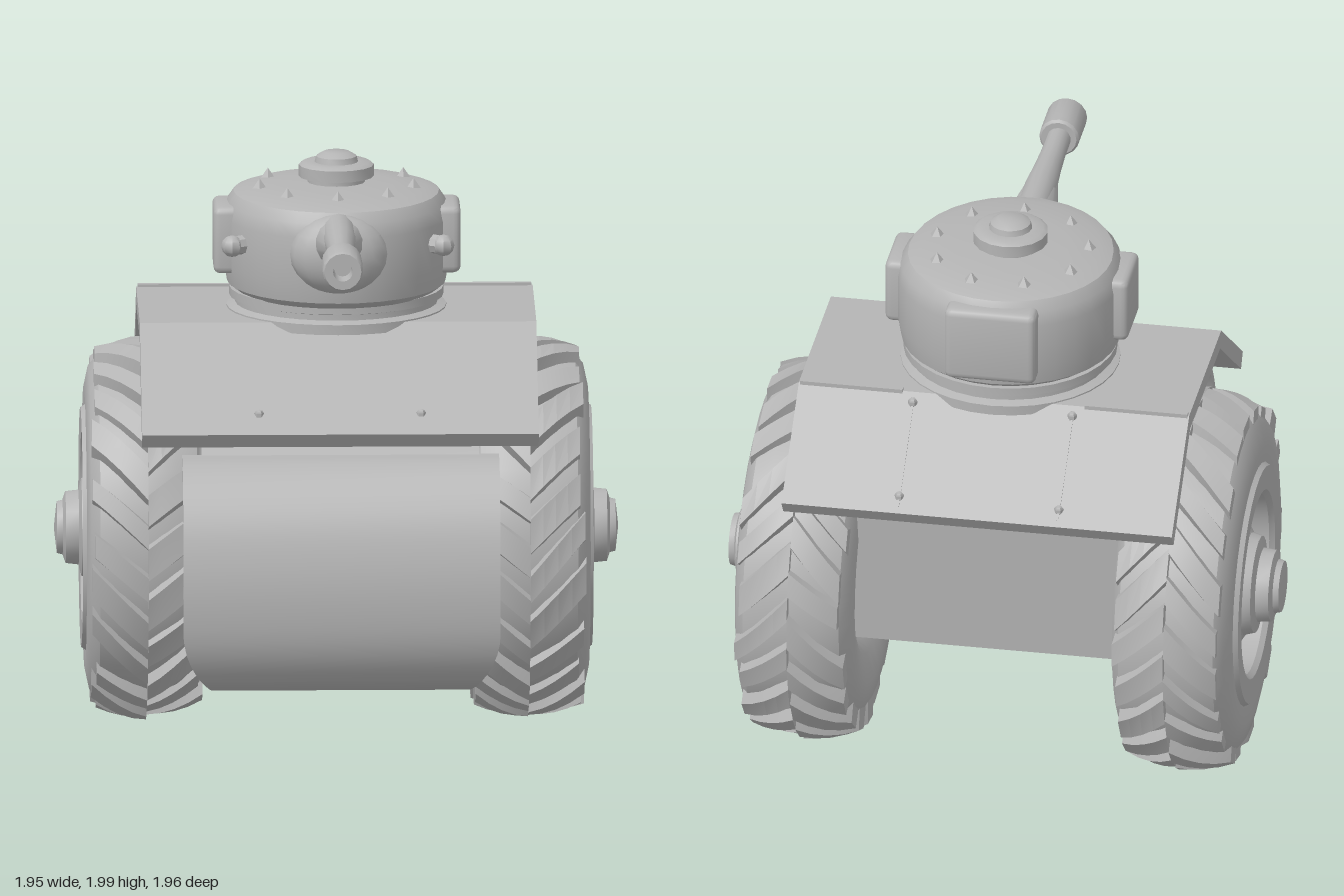
import * as THREE from 'three';
import { toCreasedNormals } from 'three/addons/utils/BufferGeometryUtils.js';
import { RoundedBoxGeometry } from 'three/addons/geometries/RoundedBoxGeometry.js';

const grey = new THREE.MeshStandardMaterial({ color: 0xb4b4b4 });
grey.name = 'plain grey';

let seed = 7;
const rand = () => (seed = (seed * 16807) % 2147483647) / 2147483647;

function add(parent, name, geometry, x = 0, y = 0, z = 0, crease = 0.6) {
  const mesh = new THREE.Mesh(toCreasedNormals(geometry, crease), grey);
  mesh.name = name;
  mesh.position.set(x, y, z);
  parent.add(mesh);
  return mesh;
}

// Side profile of [z, y] points, extruded across x
function sideExtrude(points, width) {
  const shape = new THREE.Shape(points.map(([z, y]) => new THREE.Vector2(z, y)));
  const g = new THREE.ExtrudeGeometry(shape, { depth: width, bevelEnabled: false });
  g.translate(0, 0, -width / 2);
  return g.rotateY(-Math.PI / 2);
}

// Profile of [radius, height] points, turned about y
const lathe = (points, sides = 32) =>
  new THREE.LatheGeometry(points.map(([r, y]) => new THREE.Vector2(r, y)), sides);

// One slanted tread bar that wraps over the tyre shoulder; axis of the wheel is x
function treadBar(angle, side, lean) {
  const g = new THREE.BoxGeometry(1, 1, 1, 4, 1, 1);
  const p = g.attributes.position;
  const slant = lean * (1.1 + rand() * 0.7);
  const wide = 0.15 + rand() * 0.08;
  const high = 0.03 + rand() * 0.022;
  const reach = 0.17 + rand() * 0.025;
  for (let i = 0; i < p.count; i++) {
    const w = (p.getX(i) + side * 0.5) * reach;
    const top = p.getY(i) > 0;
    const a = angle + slant * Math.abs(w) + p.getZ(i) * wide * (top ? 0.8 : 1.2);
    const r = 0.616 - 1.2 * w * w + (top ? high : -0.05);
    p.setXYZ(i, w, r * Math.cos(a), r * Math.sin(a));
  }
  return g;
}

function makeWheel(lean) {
  const wheel = new THREE.Group();
  wheel.name = 'wheel';
  // Tyre with a raised rim ring
  const tyre = lathe([
    [0.31, -0.14], [0.36, -0.185], [0.46, -0.205], [0.53, -0.2], [0.58, -0.17], [0.61, -0.1],
    [0.62, 0], [0.612, 0.1], [0.595, 0.165], [0.56, 0.195], [0.49, 0.21], [0.425, 0.205],
    [0.415, 0.222], [0.33, 0.218], [0.315, 0.2], [0.31, 0.1], [0.31, -0.14]], 36);
  add(wheel, 'tyre', tyre.rotateZ(-Math.PI / 2));
  // Stepped hub, a shallow dish behind
  const hub = lathe([
    [0, -0.02], [0.16, -0.02], [0.22, 0.03], [0.23, 0.11], [0.22, 0.16], [0.18, 0.185],
    [0.17, 0.22], [0.13, 0.23], [0.125, 0.275], [0.095, 0.285], [0.09, 0.305], [0, 0.315]], 20);
  add(wheel, 'hub', hub.rotateZ(-Math.PI / 2));
  for (let i = 0; i < 5; i++) {
    const a = Math.PI + (i * Math.PI * 2) / 5;
    const spoke = new THREE.BoxGeometry(0.08, 0.2, 0.14).translate(0, 0.25, 0).rotateX(a);
    add(wheel, 'spoke', spoke, 0.05);
  }
  // Two staggered rows of tread bars forming a chevron
  const bars = 22;
  for (let i = 0; i < bars; i++) {
    for (const side of [1, -1]) {
      const a = ((i + (side > 0 ? 0 : 0.5)) / bars) * Math.PI * 2;
      add(wheel, 'treadBar', treadBar(a, side, lean), 0, 0, 0, 0.3);
    }
  }
  return wheel;
}

function makeTurret() {
  const turret = new THREE.Group();
  turret.name = 'turret';
  add(turret, 'turretRing', lathe([
    [0, 1.43], [0.38, 1.43], [0.38, 1.465], [0.35, 1.475], [0.35, 1.495], [0.37, 1.5],
    [0.37, 1.53], [0, 1.54]]));
  // Body, drawn out a little towards the gun
  const body = lathe([
    [0, 1.52], [0.345, 1.525], [0.378, 1.55], [0.39, 1.62], [0.39, 1.78], [0.38, 1.83],
    [0.355, 1.865], [0.31, 1.88], [0.2, 1.89], [0, 1.9]]);
  const bp = body.attributes.position;
  for (let i = 0; i < bp.count; i++) {
    if (bp.getZ(i) > 0) bp.setZ(i, bp.getZ(i) * 1.12);
  }
  add(turret, 'turretBody', body);
  add(turret, 'hatch', lathe([
    [0, 1.88], [0.1, 1.88], [0.1, 1.91], [0.13, 1.915], [0.13, 1.955], [0.115, 1.965],
    [0.075, 1.965], [0.07, 1.985], [0.045, 2], [0, 2]], 16));
  // Plates on the sides and back
  for (const s of [-1, 1]) {
    add(turret, 'sidePlate', new RoundedBoxGeometry(0.12, 0.235, 0.24, 2, 0.025), s * 0.367, 1.715, 0.03);
    const nub = new THREE.SphereGeometry(0.038, 8, 6);
    add(turret, 'sideNub', nub, s * 0.365, 1.72, 0.255);
    const stem = new THREE.CylinderGeometry(0.032, 0.036, 0.1, 8)
      .rotateX(Math.PI / 2).rotateY(s * 0.96);
    add(turret, 'nubStem', stem, s * 0.33, 1.72, 0.23);
  }
  add(turret, 'rearPlate', new RoundedBoxGeometry(0.32, 0.27, 0.11, 2, 0.025), 0, 1.71, -0.36);
  // Ring of blunt bolts on the top
  for (let i = 0; i < 9; i++) {
    const a = (i / 9) * Math.PI * 2;
    add(turret, 'topBolt', new THREE.ConeGeometry(0.034, 0.045, 5),
      0.27 * Math.sin(a), 1.893, 0.27 * Math.cos(a));
  }
  // Gun, turned about its own length
  const gun = new THREE.Group();
  gun.name = 'gun';
  gun.position.set(0, 1.805, 0);
  gun.rotation.x = Math.PI / 2;
  turret.add(gun);
  add(gun, 'barrel', lathe([
    [0, 0.3], [0.06, 0.3], [0.055, 0.6], [0.047, 0.72], [0.043, 0.82], [0.042, 0.96]], 14));
  add(gun, 'muzzle', lathe([
    [0, 0.935], [0.062, 0.935], [0.07, 0.945], [0.07, 1.1], [0.064, 1.11], [0.034, 1.11],
    [0.03, 1.04], [0, 1.04]], 16));
  // Rounded mantlet with a sloping collar under the barrel
  const mantlet = new THREE.SphereGeometry(0.14, 16, 12).scale(1.2, 1, 0.7);
  add(turret, 'mantlet', mantlet, 0, 1.72, 0.4);
  const collar = new THREE.CylinderGeometry(0.045, 0.095, 0.28, 14)
    .rotateX(Math.PI / 2 - 0.14);
  add(turret, 'gunCollar', collar, 0, 1.78, 0.54);
  turret.position.z = -0.11;
  return turret;
}

export function createModel() {
  const model = new THREE.Group();
  model.name = 'armouredCar';
  model.rotation.y = THREE.MathUtils.degToRad(14.5);
  const car = new THREE.Group();
  car.name = 'vehicle';
  car.position.x = 0.04;
  model.add(car);

  add(car, 'hull', sideExtrude([
    [-0.53, 0.53], [0.6, 0.53], [0.835, 0.53], [0.84, 0.62], [0.815, 0.77], [0.76, 0.91],
    [0.64, 1.05], [0.5, 1.12], [0.19, 1.41], [-0.42, 1.41], [-0.56, 1.25]], 0.96), 0, 0, 0, 0.4);

  // Folded roof plate
  add(car, 'roof', sideExtrude([
    [0.61, 1.15], [0.19, 1.46], [-0.43, 1.46], [-0.77, 1.165], [-0.735, 1.115],
    [-0.41, 1.4], [0.17, 1.4], [0.575, 1.1]], 1.37), 0, 0, 0, 0.3);

  // Curved shield in front, open behind, narrowing where it curls under
  const curve = new THREE.CatmullRomCurve3([
    [0.58, 1.075], [0.7, 1.06], [0.815, 0.92], [0.87, 0.76], [0.888, 0.6], [0.868, 0.44],
    [0.8, 0.325], [0.7, 0.268], [0.6, 0.262], [0.53, 0.285]]
    .map(([z, y]) => new THREE.Vector3(z, y, 0))).getPoints(28);
  const outer = curve.map((p) => [p.x, p.y]);
  const inner = outer.map(([z, y]) => [0.58 + (z - 0.58) * 0.9, 0.66 + (y - 0.66) * 0.93]);
  const shield = sideExtrude([...outer, ...inner.reverse()], 1.095);
  const sp = shield.attributes.position;
  for (let i = 0; i < sp.count; i++) {
    const low = Math.max(0, 0.5 - sp.getY(i));
    sp.setX(i, sp.getX(i) * (1 - 3.4 * low * low));
  }
  add(car, 'frontShield', shield);

  // Bolts and seams on the roof
  for (const s of [-1, 1]) {
    for (const [z, y] of [[-0.46, 1.435], [-0.72, 1.205], [0.53, 1.205]]) {
      add(car, 'roofBolt', new THREE.SphereGeometry(0.018, 6, 5), s * 0.28, y, z);
    }
    const seam = new THREE.BoxGeometry(0.008, 0.008, 0.4).rotateX(-0.715);
    add(car, 'roofSeam', seam, s * 0.28, 1.312, -0.6);
    add(car, 'roofRidge', new THREE.BoxGeometry(0.36, 0.014, 0.02), s * 0.5, 1.462, -0.43);
  }

  // Wheels and axle
  for (const s of [-1, 1]) {
    const wheel = makeWheel(-s);
    wheel.position.set(s * 0.66, 0.668, -0.16);
    wheel.rotation.y = s > 0 ? 0 : Math.PI;
    car.add(wheel);
  }
  const axle = new THREE.CylinderGeometry(0.09, 0.09, 1.36, 16).rotateZ(Math.PI / 2);
  add(car, 'axle', axle, 0, 0.668, -0.16);

  car.add(makeTurret());
  return model;
}
